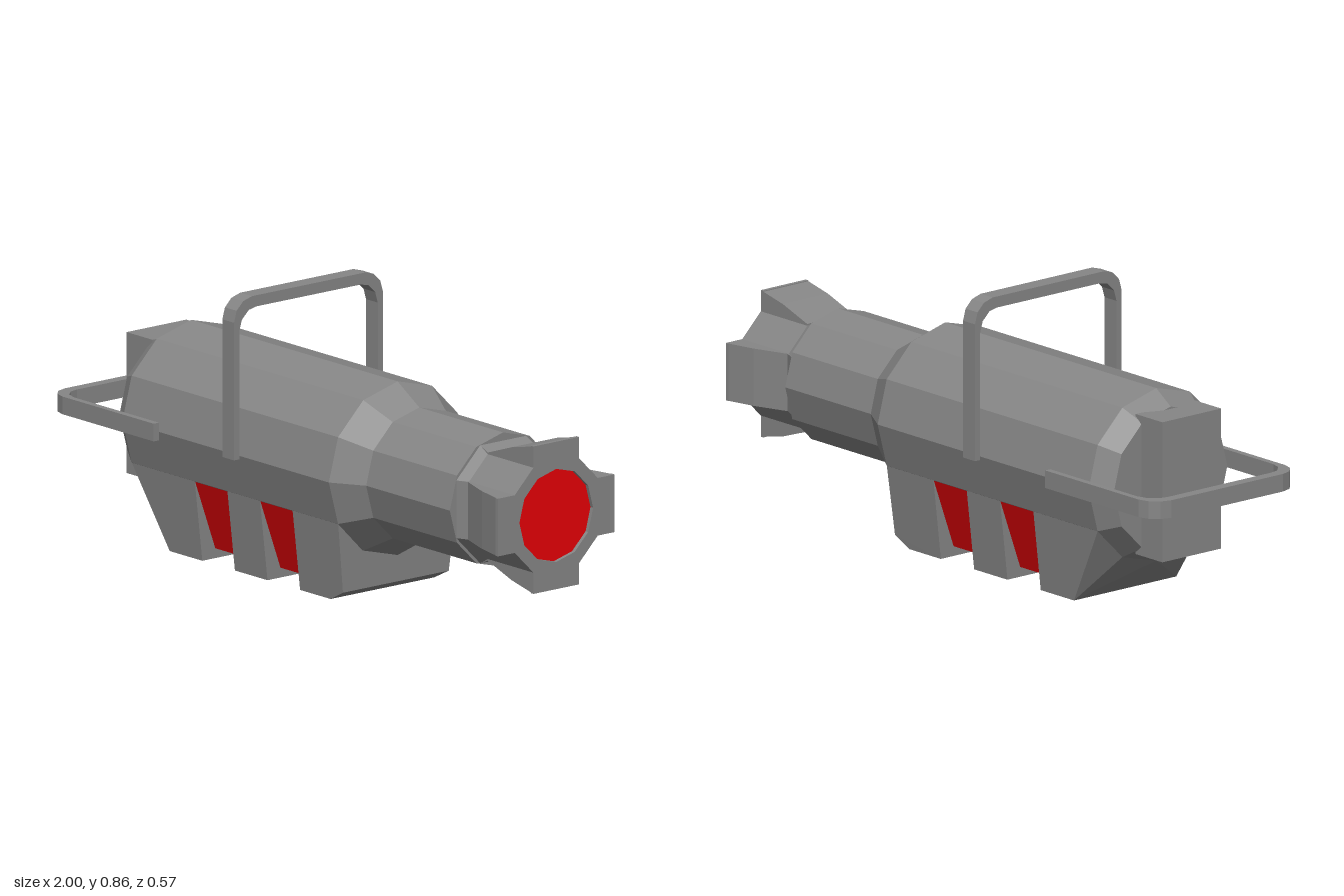
import * as THREE from 'three';
import { ConvexGeometry } from 'three/addons/geometries/ConvexGeometry.js';

const AXIS_Y = 0.38;
const LENS_R = 0.142;
const grey = new THREE.MeshStandardMaterial({ color: 0x868686, flatShading: true });
const red = new THREE.MeshStandardMaterial({ color: 0xe60006, flatShading: true });

// Convex block from [x, y, halfWidth] points, mirrored in z
function block(points) {
  return new ConvexGeometry(points.flatMap(([x, y, z]) => [
    new THREE.Vector3(x, y, z), new THREE.Vector3(x, y, -z)]));
}

// Slice of the tapered base between two x positions
const slice = (x0, x1) => block([x0, x1].flatMap((x) => [[x, 0, 0.2], [x, 0.2475, 0.229]]));

// Cross-shaped outline as [y, z] pairs: arm reach a, inner corner reach c
function crossOutline(a, c) {
  const w = 0.088, outline = [];
  for (let q = 0; q < 4; q++) {
    for (let [y, z] of [[a, -w], [a, w], [c, w], [w, c]]) {
      for (let k = 0; k < q; k++) [y, z] = [-z, y];
      outline.push([y, z]);
    }
  }
  return outline;
}

// Nozzle sides: an octagon whose four arms grow along x
function nozzleGeometry() {
  const sections = [[0.755, 0.18, 0.18], [0.79, 0.165, 0.16], [0.9, 0.203, 0.16], [1, 0.225, 0.16]];
  const pos = [], index = [], n = 16;
  for (const [x, a, c] of sections) {
    for (const [y, z] of crossOutline(a, c)) pos.push(x, y, z);
  }
  for (let s = 0; s < (sections.length - 1) * n; s += n) {
    for (let i = 0; i < n; i++) {
      const j = (i + 1) % n;
      index.push(s + i, s + j, s + n + j, s + i, s + n + j, s + n + i);
    }
  }
  const g = new THREE.BufferGeometry();
  g.setAttribute('position', new THREE.Float32BufferAttribute(pos, 3));
  g.setIndex(index);
  g.computeVertexNormals();
  return g;
}

// Nozzle front: cross-shaped plate with a twelve-sided opening, sunk to the lens
function nozzleFaceGeometry(depth) {
  const shape = new THREE.Shape(crossOutline(0.225, 0.16).map(([y, z]) => new THREE.Vector2(-z, y)));
  const hole = [];
  for (let i = 0; i < 12; i++) {
    const t = i * Math.PI / 6;
    hole.push(new THREE.Vector2(LENS_R * Math.cos(t), LENS_R * Math.sin(t)));
  }
  shape.holes.push(new THREE.Path(hole));
  return new THREE.ExtrudeGeometry(shape, { depth, bevelEnabled: false }).rotateY(Math.PI / 2);
}

// Flat U-shaped bracket: legs start at v = 0, outer crossbar edge at v = 0.49
function bracketGeometry() {
  const outer = [[0.287, 0], [0.287, 0.42], [0.277, 0.455], [0.252, 0.48], [0.218, 0.49]];
  const inner = [[0.2, 0.456], [0.23, 0.45], [0.257, 0.424], [0.267, 0.39], [0.267, 0]];
  const mirror = (list) => list.map(([u, v]) => [-u, v]).reverse();
  const outline = [...outer, ...mirror(outer), ...mirror(inner), ...inner];
  const shape = new THREE.Shape(outline.map(([u, v]) => new THREE.Vector2(u, v)));
  return new THREE.ExtrudeGeometry(shape, { depth: 0.054, bevelEnabled: false });
}

export function createModel() {
  const group = new THREE.Group();
  const add = (name, geometry, material = grey) => {
    const mesh = new THREE.Mesh(geometry, material);
    mesh.name = name;
    group.add(mesh);
    return mesh;
  };

  // Twelve-sided barrel stepping down to the front tube
  const profile = [[0, -0.745], [0.222, -0.745], [0.265, -0.68], [0.265, 0.27], [0.205, 0.37],
    [0.205, 0.755], [0, 0.755]];
  add('barrel', new THREE.LatheGeometry(profile.map(([r, x]) => new THREE.Vector2(r, x)), 12)
    .rotateZ(-Math.PI / 2)).position.y = AXIS_Y;

  // Flared nozzle with its slightly sunk lens
  const sunk = 0.012;
  add('nozzle', nozzleGeometry()).position.y = AXIS_Y;
  add('nozzleFace', nozzleFaceGeometry(sunk)).position.set(1 - sunk, AXIS_Y, 0);
  add('lens', new THREE.CircleGeometry(LENS_R, 12).rotateY(Math.PI / 2), red)
    .position.set(1 - sunk, AXIS_Y, 0);

  // Rear box
  add('rearBox', new THREE.BoxGeometry(0.12, 0.43, 0.23)).position.set(-0.78, AXIS_Y, 0);

  // Base: rear block sloping up to the barrel, middle rib and front block
  add('baseRear', block([[-0.68, 0.2475, 0.229], [-0.68, 0.1505, 0.1325], [-0.68, 0.115, 0],
    [-0.54, 0, 0.2], [-0.39, 0, 0.2], [-0.39, 0.2475, 0.229]]));
  add('baseMiddle', slice(-0.24, -0.09));
  add('baseFront', block([[0.06, 0, 0.2], [0.06, 0.2475, 0.229], [0.2, 0, 0.2],
    [0.262, 0.032, 0.204], [0.27, 0.2475, 0.229]]));

  // Recessed panels between the base blocks, leaning inward towards the bottom
  for (const x of [-0.315, -0.015]) {
    add('recessedPanel', block([-0.08, 0.08].flatMap((d) => [
      [x + d, 0.03, 0.15], [x + d, 0.25, 0.229]])), red);
  }

  // Carrying handle over the top and matching handle at the rear
  const X = new THREE.Vector3(1, 0, 0), Y = new THREE.Vector3(0, 1, 0);
  const across = new THREE.Vector3(0, 0, -1);
  const top = new THREE.Matrix4().makeBasis(across, Y, X).setPosition(-0.194, 0.37, 0);
  const rear = new THREE.Matrix4().makeBasis(across, X.clone().negate(), Y).setPosition(-0.51, 0.355, 0);
  add('topHandle', bracketGeometry().applyMatrix4(top));
  add('rearHandle', bracketGeometry().applyMatrix4(rear));

  return group;
}
